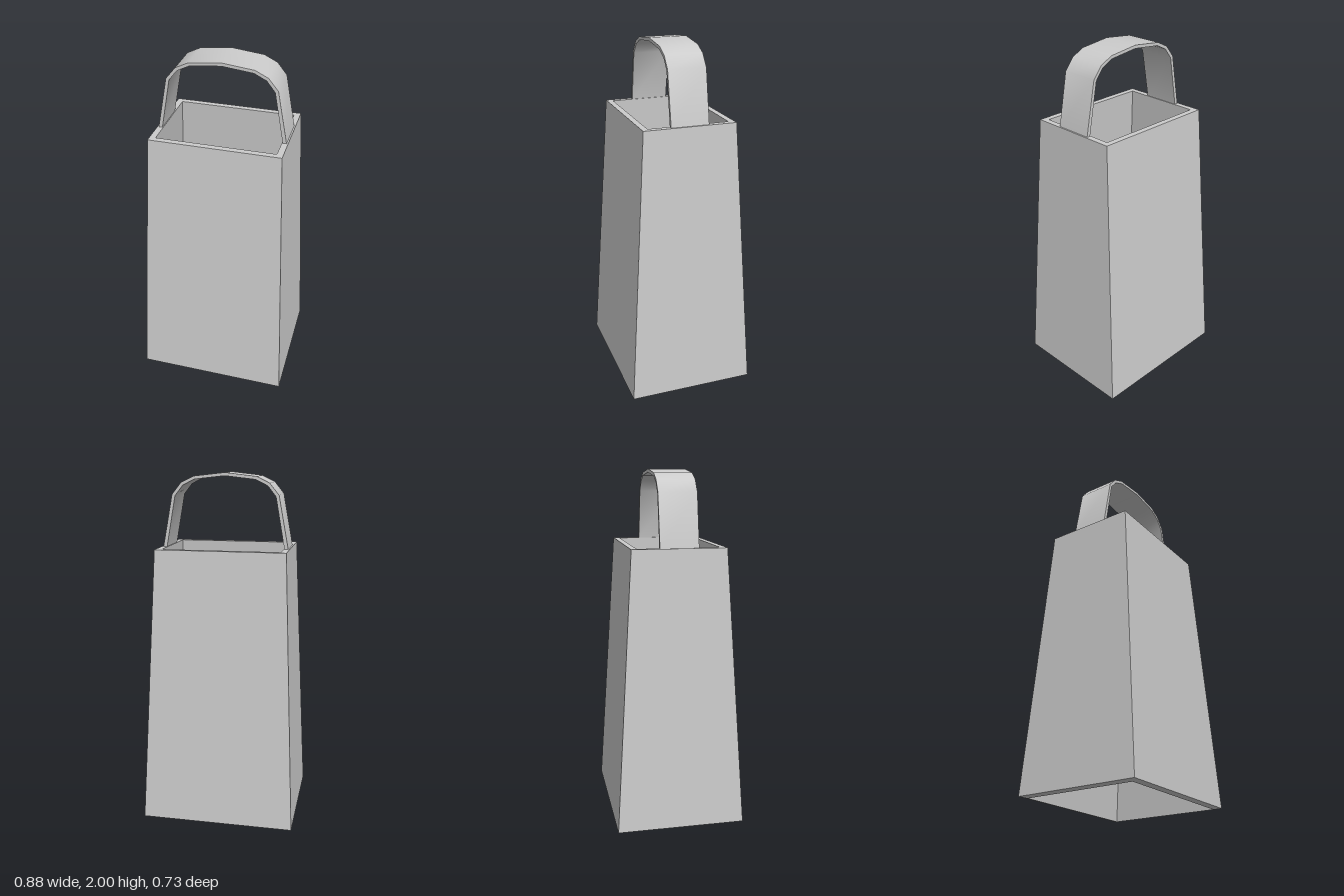
import * as THREE from 'three';
import { toCreasedNormals } from 'three/addons/utils/BufferGeometryUtils.js';

const material = new THREE.MeshStandardMaterial({ color: 0xcccccc });

const rectangle = (w, d) => [[-w, -d], [w, -d], [w, d], [-w, d]].map(([x, y]) => new THREE.Vector2(x, y));

// Open rectangular tube whose walls lean inward towards the top
function bodyGeometry() {
  const height = 1.587, halfW = 0.438, halfD = 0.363, wall = 0.034;
  const leanX = 0.072, leanZ = 0.101, lip = 0.008;
  const outline = new THREE.Shape(rectangle(halfW, halfD));
  outline.holes.push(new THREE.Path(rectangle(halfW - wall, halfD - wall)));
  const geometry = new THREE.ExtrudeGeometry(outline, { depth: height, bevelEnabled: false });
  geometry.rotateX(-Math.PI / 2);

  const p = geometry.attributes.position;
  for (let i = 0; i < p.count; i++) {
    const x = p.getX(i), y = p.getY(i), z = p.getZ(i), t = y / height;
    const outer = Math.abs(x) > halfW - wall / 2;
    // the outer bottom edge sits slightly above the inner one
    const newY = outer && t < 0.5 ? lip : y;
    p.setXYZ(i, x - Math.sign(x) * leanX * t, newY, z - Math.sign(z) * leanZ * t);
  }
  const flat = geometry.toNonIndexed ? (geometry.index ? geometry.toNonIndexed() : geometry) : geometry;
  flat.computeVertexNormals();
  return flat;
}

// Flat strap bent into an arch
function handleGeometry() {
  const width = 0.214;
  const outer = [[0.358, 1.585], [0.302, 1.88], [0.249, 1.945], [0.177, 1.98], [0, 2]];
  const inner = [[0.337, 1.585], [0.285, 1.872], [0.239, 1.93], [0.172, 1.963], [0, 1.982]];
  const mirrored = (half) => [...half, ...half.slice(0, -1).reverse().map(([x, y]) => [-x, y])];
  const points = [...mirrored(outer), ...mirrored(inner).reverse()];
  const shape = new THREE.Shape(points.map(([x, y]) => new THREE.Vector2(x, y)));
  const geometry = new THREE.ExtrudeGeometry(shape, { depth: width, bevelEnabled: false });
  geometry.translate(0, 0, -width / 2);
  return toCreasedNormals(geometry, 0.6);
}

export function createModel() {
  const group = new THREE.Group();
  group.name = 'cowbell';
  const parts = { body: bodyGeometry(), handle: handleGeometry() };
  for (const [name, geometry] of Object.entries(parts)) {
    const mesh = new THREE.Mesh(geometry, material);
    mesh.name = name;
    group.add(mesh);
  }
  return group;
}
